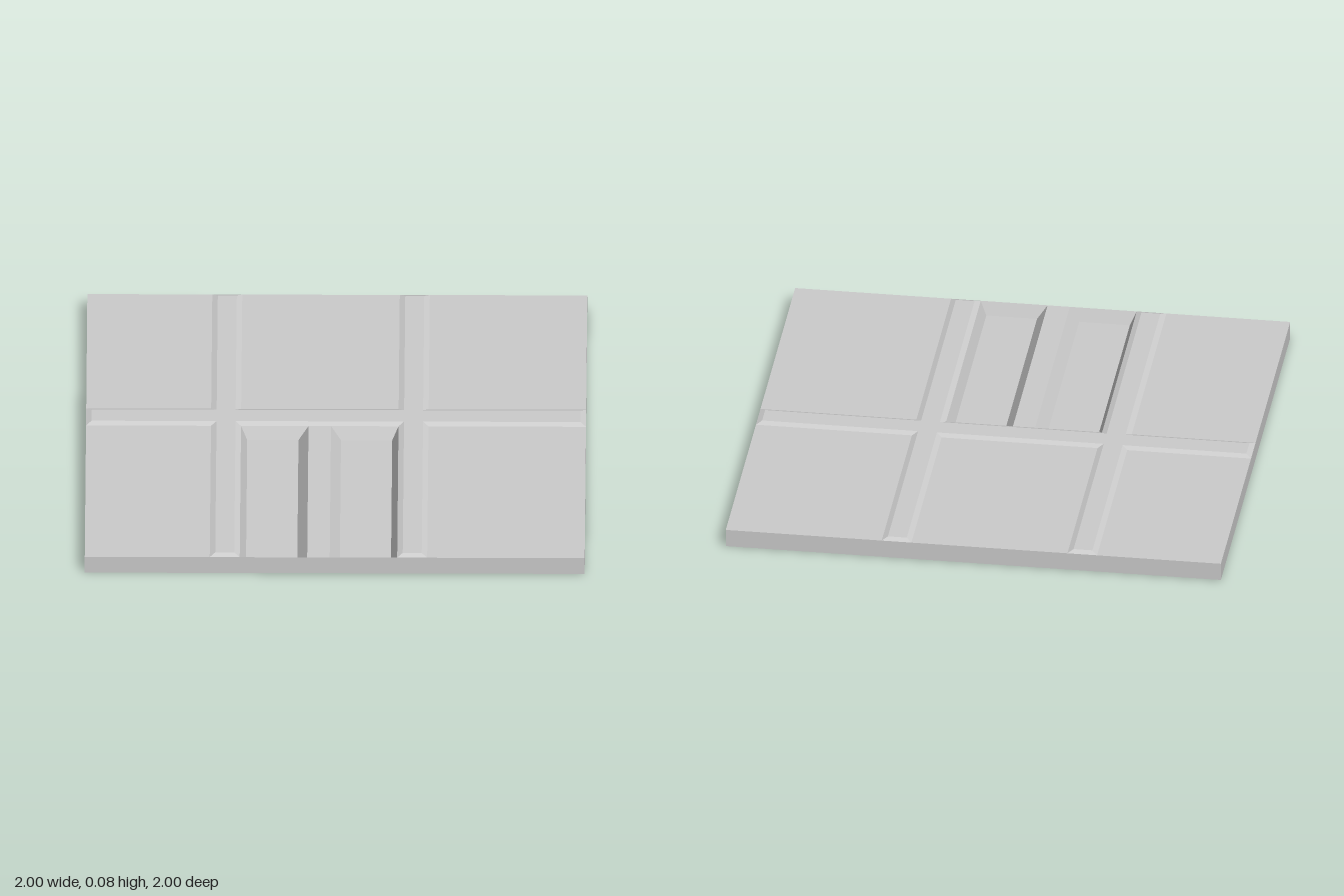
import * as THREE from 'three';

const TOP = 0.074, RIDGE = 0.083, FLOOR = 0.02, BEVEL = 0.022;
const material = new THREE.MeshStandardMaterial({ color: 0xcccccc, flatShading: true });

// Corners of a rectangle, running anticlockwise seen from above
const rect = (x0, x1, z0, z1) => [[x0, z1], [x1, z1], [x1, z0], [x0, z0]];

// Sloped band from a lower loop to an upper loop
function band(lower, y0, upper, y1) {
  const pos = [];
  lower.forEach((a, i) => {
    const j = (i + 1) % lower.length;
    const b = lower[j], c = upper[j], d = upper[i];
    pos.push(a[0], y0, a[1], b[0], y0, b[1], c[0], y1, c[1]);
    pos.push(a[0], y0, a[1], c[0], y1, c[1], d[0], y1, d[1]);
  });
  const g = new THREE.BufferGeometry();
  g.setAttribute('position', new THREE.Float32BufferAttribute(pos, 3));
  g.computeVertexNormals();
  return g;
}

// Flat face inside a loop, facing up
function cap(loop, y) {
  const shape = new THREE.Shape(loop.map(([x, z]) => new THREE.Vector2(x, -z)));
  return new THREE.ShapeGeometry(shape).rotateX(-Math.PI / 2).translate(0, y, 0);
}

// Moves every edge of a square-cornered loop inward
function inset(loop, d) {
  const n = loop.length;
  const inward = (a, b) => [Math.sign(b[1] - a[1]) * d, -Math.sign(b[0] - a[0]) * d];
  return loop.map((p, i) => {
    const u = inward(loop[(i + n - 1) % n], p), v = inward(p, loop[(i + 1) % n]);
    return [p[0] + u[0] + v[0], p[1] + u[1] + v[1]];
  });
}

export function createModel() {
  const model = new THREE.Group();
  const add = (name, geometry, parent = model) => {
    const mesh = new THREE.Mesh(geometry, material);
    mesh.name = name;
    parent.add(mesh);
  };

  // Slab sides and underside
  const edge = rect(-1, 1, -1, 1);
  add('slabSides', band(edge, 0, edge, TOP));
  add('slabUnderside', new THREE.PlaneGeometry(2, 2).rotateX(Math.PI / 2));

  // Flat panels between the ridges and pits
  const panels = [
    [-1, -0.5, -1, -0.13], [-0.38, 0.25, -1, -0.13], [0.37, 1, -1, -0.13],
    [-1, -0.5, 0, 1], [-0.11, -0.02, 0, 1], [0.37, 1, 0, 1],
  ];
  panels.forEach((p) => add('topPanel', cap(rect(...p), TOP)));

  // Two long strips joined by a cross strip, raised with bevelled edges
  const strips = [[-0.5, -0.38], [0.25, 0.37]];
  const front = [[-1, 0]], back = [[-1, -0.13]];
  for (const [a, b] of strips) {
    front.push([a, 0], [a, 1], [b, 1], [b, 0]);
    back.push([a, -0.13], [a, -1], [b, -1], [b, -0.13]);
  }
  front.push([1, 0]);
  back.push([1, -0.13]);
  const foot = [...front, ...back.reverse()];
  const crest = inset(foot, BEVEL);
  add('ridgeBevel', band(foot, TOP, crest, RIDGE));
  add('ridgeTop', cap(crest, RIDGE));

  // Two sunken pits with sloping walls; the walls beside the middle slope more
  const pits = [
    { rim: [-0.38, -0.11, 0, 1], floor: [-0.355, -0.15, 0.02, 0.98] },
    { rim: [-0.02, 0.25, 0, 1], floor: [0.02, 0.225, 0.02, 0.98] },
  ];
  for (const { rim, floor } of pits) {
    const pit = new THREE.Group();
    pit.name = 'pit';
    add('pitWalls', band(rect(...rim), TOP, rect(...floor), FLOOR), pit);
    add('pitFloor', cap(rect(...floor), FLOOR), pit);
    model.add(pit);
  }
  return model;
}
